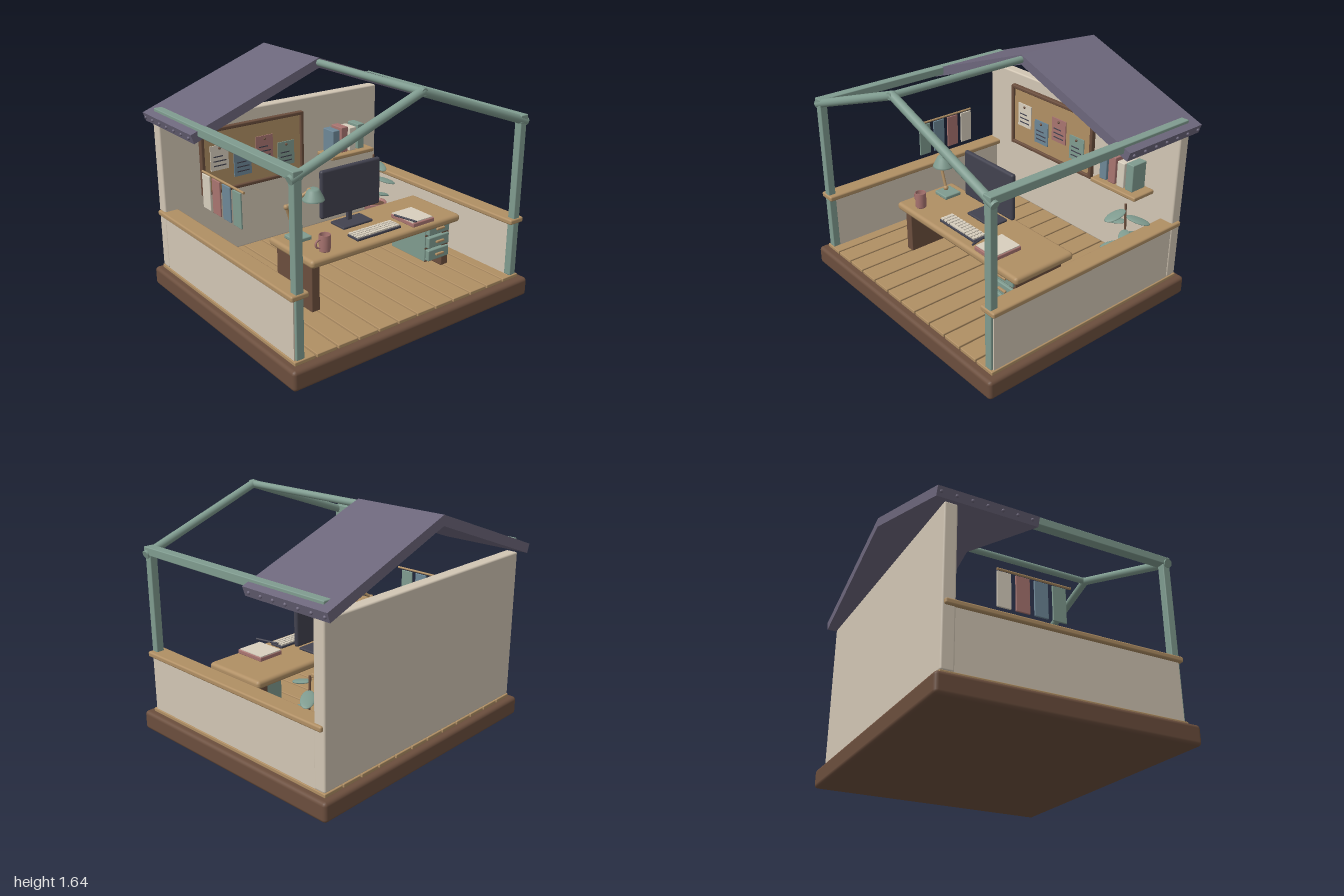
import * as THREE from 'three';
import { RoundedBoxGeometry } from 'three/addons/geometries/RoundedBoxGeometry.js';

const mat = (name, color, side = THREE.FrontSide) => {
  const m = new THREE.MeshStandardMaterial({ color, side });
  m.name = name;
  return m;
};

export function createModel() {
  const root = new THREE.Group();
  root.name = 'gardenOffice';
  const wood = mat('lightWood', 0xb08f64);
  const brown = mat('darkWood', 0x6b4e3d);
  const plaster = mat('plaster', 0xd2c6b4);
  const paper = mat('paper', 0xd8cfbe);
  const green = mat('sageGreen', 0x7f9b8f);
  const purple = mat('roofPurple', 0x6c667b);
  const pink = mat('dustyPink', 0xa87470);
  const blue = mat('slateBlue', 0x6d8797);
  const dark = mat('charcoal', 0x42424f);

  const add = (name, geo, m, parent = root) => {
    const mesh = new THREE.Mesh(geo, m);
    mesh.name = name;
    parent.add(mesh);
    return mesh;
  };
  const group = (name) => {
    const g = new THREE.Group();
    g.name = name;
    root.add(g);
    return g;
  };
  // Box from its limits on each axis, with optional rounding
  const box = (name, m, [x0, x1], [y0, y1], [z0, z1], r = 0, parent = root) => {
    const w = x1 - x0, h = y1 - y0, d = z1 - z0;
    const geo = r ? new RoundedBoxGeometry(w, h, d, 2, r) : new THREE.BoxGeometry(w, h, d);
    const mesh = add(name, geo, m, parent);
    mesh.position.set((x0 + x1) / 2, (y0 + y1) / 2, (z0 + z1) / 2);
    return mesh;
  };
  // Round bar between two points
  const rod = (name, m, a, b, r, parent = root) => {
    const A = new THREE.Vector3(...a), B = new THREE.Vector3(...b);
    const mesh = add(name, new THREE.CylinderGeometry(r, r, A.distanceTo(B), 16), m, parent);
    mesh.position.copy(A).add(B).multiplyScalar(0.5);
    mesh.quaternion.setFromUnitVectors(new THREE.Vector3(0, 1, 0), B.sub(A).normalize());
    return mesh;
  };
  const ball = (name, m, p, r, parent = root) => {
    const mesh = add(name, new THREE.SphereGeometry(r, 14, 10), m, parent);
    mesh.position.set(...p);
    return mesh;
  };

  // Base and floor planks
  box('base', brown, [-1, 1], [0, 0.135], [-0.875, 0.89], 0.025);
  const floor = group('floor');
  for (let i = 0; i < 12; i++) {
    const x = -0.96 + i * 0.16;
    box('plank', wood, [x + 0.006, x + 0.154], [0.134, 0.16], [-0.83, 0.835], 0.005, floor);
  }

  // Back wall, low side walls, rails, posts and roof beams
  box('backWall', plaster, [-0.95, 0.95], [0.16, 1.222], [-0.825, -0.738], 0.012);
  for (const s of [-1, 1]) {
    const span = (a, b) => (s > 0 ? [a, b] : [-b, -a]);
    box('sideWall', plaster, span(0.882, 0.945), [0.16, 0.555], [-0.8, 0.812]);
    box('wallRail', wood, span(0.845, 0.97), [0.55, 0.588], [-0.812, 0.836], 0.012);
    box('frontPost', green, span(0.88, 0.936), [0.16, 1.28], [0.774, 0.828], 0.006);
    box('sideBeam', green, span(0.874, 0.942), [1.265, 1.322], [-0.815, 0.832], 0.006);
    rod('frontRafter', green, [s * 0.95, 1.268, 0.806], [0, 1.612, 0.806], 0.029);
  }
  ball('ridgeJoint', green, [0, 1.612, 0.806], 0.03);
  rod('ridgeBeam', green, [0, 1.612, 0.832], [0, 1.612, -0.8], 0.024);

  // Gabled roof over the back, with studs along the eaves
  const gable = new THREE.Shape([
    [0, 1.645], [-0.99, 1.284], [-0.969, 1.222], [0, 1.576], [0.969, 1.222], [0.99, 1.284],
  ].map((p) => new THREE.Vector2(...p)));
  add('roof', new THREE.ExtrudeGeometry(gable, { depth: 0.68, bevelEnabled: false }), purple)
    .position.z = -0.888;
  for (const s of [-1, 1])
    for (let i = 0; i < 7; i++)
      ball('eaveStud', purple, [s * 0.981, 1.253, -0.255 - i * 0.101], 0.011);

  // Notice board with pinned notes
  const board = group('noticeBoard');
  box('cork', wood, [-0.65, 0.2], [0.66, 1.12], [-0.74, -0.716], 0, board);
  for (const y of [0.647, 1.106])
    box('frameRail', brown, [-0.663, 0.214], [y, y + 0.027], [-0.738, -0.698], 0.008, board);
  for (const x of [-0.663, 0.187])
    box('frameStile', brown, [x, x + 0.027], [0.647, 1.133], [-0.738, -0.698], 0.008, board);
  [paper, blue, pink, green].forEach((m, i) => {
    const x = -0.588 + i * 0.19, y = i % 2 ? 0.738 : 0.818;
    box('note', m, [x, x + 0.146], [y, y + 0.185], [-0.717, -0.708], 0, board);
    for (let k = 0; k < 3; k++)
      box('noteLine', dark, [x + 0.022, x + (k === 2 ? 0.1 : 0.124)],
        [y + 0.03 + k * 0.034, y + 0.038 + k * 0.034], [-0.709, -0.705], 0, board);
    ball('pin', brown, [x + 0.073, y + 0.162, -0.706], 0.01, board);
  });

  // Wall shelf with books
  box('shelf', wood, [0.364, 0.775], [0.745, 0.777], [-0.738, -0.54], 0.01);
  [[blue, 0.963], [pink, 0.977], [paper, 0.962], [green, 0.976]].forEach(([m, top], i) => {
    const x = 0.406 + i * 0.08;
    box('book', m, [x, x + 0.064], [0.777, top], [-0.715, -0.585], 0.006);
  });

  // Rod with hanging fabric swatches
  const swatches = group('swatchRail');
  rod('swatchRod', wood, [-0.815, 0.956, 0.11], [-0.815, 0.956, -0.41], 0.008, swatches);
  [green, blue, pink, paper].forEach((m, i) => {
    const z = 0.072 - i * 0.129;
    box('swatch', m, [-0.821, -0.809], [0.7, 0.942], [z - 0.098, z], 0.004, swatches);
  });

  // Desk and drawer unit
  box('deskTop', wood, [-0.56, 0.738], [0.488, 0.545], [-0.03, 0.465], 0.024);
  for (const x of [-0.527, 0.614])
    box('deskLeg', brown, [x, x + 0.064], [0.16, 0.495], [0.02, 0.415], 0.006);
  const drawers = group('drawerUnit');
  box('drawerCase', green, [0.463, 0.66], [0.225, 0.49], [0.05, 0.4], 0.006, drawers);
  for (const y of [0.235, 0.332, 0.429]) {
    box('drawerFront', green, [0.472, 0.668], [y, y + 0.082], [0.39, 0.432], 0.008, drawers);
    box('drawerHandle', wood, [0.535, 0.61], [y + 0.034, y + 0.05], [0.43, 0.448], 0.005, drawers);
    box('drawerGap', brown, [0.464, 0.662], [y - 0.01, y], [0.398, 0.403], 0, drawers);
  }

  // Monitor
  const monitor = group('monitor');
  box('screen', dark, [-0.222, 0.288], [0.625, 0.968], [0.076, 0.112], 0.016, monitor);
  box('monitorNeck', dark, [0.013, 0.053], [0.55, 0.7], [0.07, 0.098], 0.006, monitor);
  box('monitorFoot', dark, [-0.096, 0.162], [0.544, 0.562], [0.04, 0.19], 0.007, monitor);

  // Keyboard
  const keyboard = group('keyboard');
  box('keyboardBody', dark, [-0.14, 0.24], [0.544, 0.562], [0.285, 0.397], 0.006, keyboard);
  for (let r = 0; r < 4; r++)
    for (let c = 0; c < 11; c++) {
      if (r === 3 && c > 3 && c < 8) continue;
      const x = -0.133 + c * 0.0335, z = 0.291 + r * 0.026;
      const w = r === 3 && c === 3 ? 0.159 : 0.026;
      box('key', paper, [x, x + w], [0.56, 0.573], [z, z + 0.02], 0, keyboard);
    }

  // Notebook and pen
  box('notebookCover', pink, [0.305, 0.5], [0.544, 0.574], [0.212, 0.447], 0.006);
  box('notebookPage', paper, [0.309, 0.492], [0.572, 0.58], [0.216, 0.434]);
  rod('pen', dark, [0.272, 0.595, 0.285], [0.312, 0.595, 0.465], 0.007);

  // Mug
  const mug = group('mug');
  mug.position.set(-0.392, 0.545, 0.373);
  add('mugBody', new THREE.LatheGeometry([[0, 0], [0.034, 0], [0.038, 0.006], [0.04, 0.112],
    [0.037, 0.115], [0.034, 0.112], [0.032, 0.012], [0, 0.012]]
    .map((p) => new THREE.Vector2(...p)), 24), pink, mug);
  const handle = add('mugHandle', new THREE.TorusGeometry(0.028, 0.007, 8, 20), pink, mug);
  handle.position.set(-0.044, 0.058, 0);

  // Desk lamp
  const lamp = group('deskLamp');
  box('lampBase', green, [-0.487, -0.353], [0.544, 0.572], [0.048, 0.182], 0.008, lamp);
  const foot = [-0.442, 0.59, 0.115], elbow = [-0.508, 0.79, 0.115], neck = [-0.37, 0.892, 0.18];
  rod('lowerArm', wood, foot, elbow, 0.011, lamp);
  rod('upperArm', wood, elbow, neck, 0.011, lamp);
  for (const p of [foot, elbow, neck]) ball('lampJoint', wood, p, 0.019, lamp);
  const shade = add('lampShade', new THREE.LatheGeometry([[0.07, 0], [0.075, 0.002], [0.072, 0.012],
    [0.044, 0.068], [0.034, 0.08], [0, 0.082], [0, 0.074], [0.036, 0.066], [0.07, 0]]
    .map((p) => new THREE.Vector2(...p)), 28), green.clone(), lamp);
  shade.material = green;
  shade.position.set(-0.35, 0.826, 0.196);
  ball('bulb', paper, [-0.35, 0.858, 0.196], 0.025, lamp);

  // Potted plant: leaves spiral down the stem
  const plant = group('plant');
  const pot = add('pot', new THREE.LatheGeometry([[0, 0], [0.068, 0], [0.092, 0.165], [0.09, 0.172],
    [0.08, 0.172], [0.076, 0.15], [0, 0.15]].map((p) => new THREE.Vector2(...p)), 28), pink, plant);
  pot.position.set(0.763, 0.162, -0.5);
  const soil = add('soil', new THREE.CylinderGeometry(0.077, 0.077, 0.01, 24), brown, plant);
  soil.position.set(0.763, 0.312, -0.5);
  rod('stem', brown, [0.763, 0.3, -0.5], [0.738, 0.735, -0.5], 0.008, plant);
  for (let i = 0; i < 7; i++) {
    const holder = new THREE.Group();
    holder.name = 'leafHolder';
    const y = 0.692 - i * 0.049;
    holder.position.set(0.738 + (0.735 - y) * 0.057, y, -0.5);
    holder.rotation.y = -THREE.MathUtils.degToRad(100 - i * 137.5);
    plant.add(holder);
    const leaf = add('leaf', new THREE.SphereGeometry(1, 16, 10), green, holder);
    leaf.scale.set(0.085, 0.012, 0.046);
    leaf.position.set(0.085, -0.022, 0);
    leaf.rotation.z = -0.27;
  }
  return root;
}
